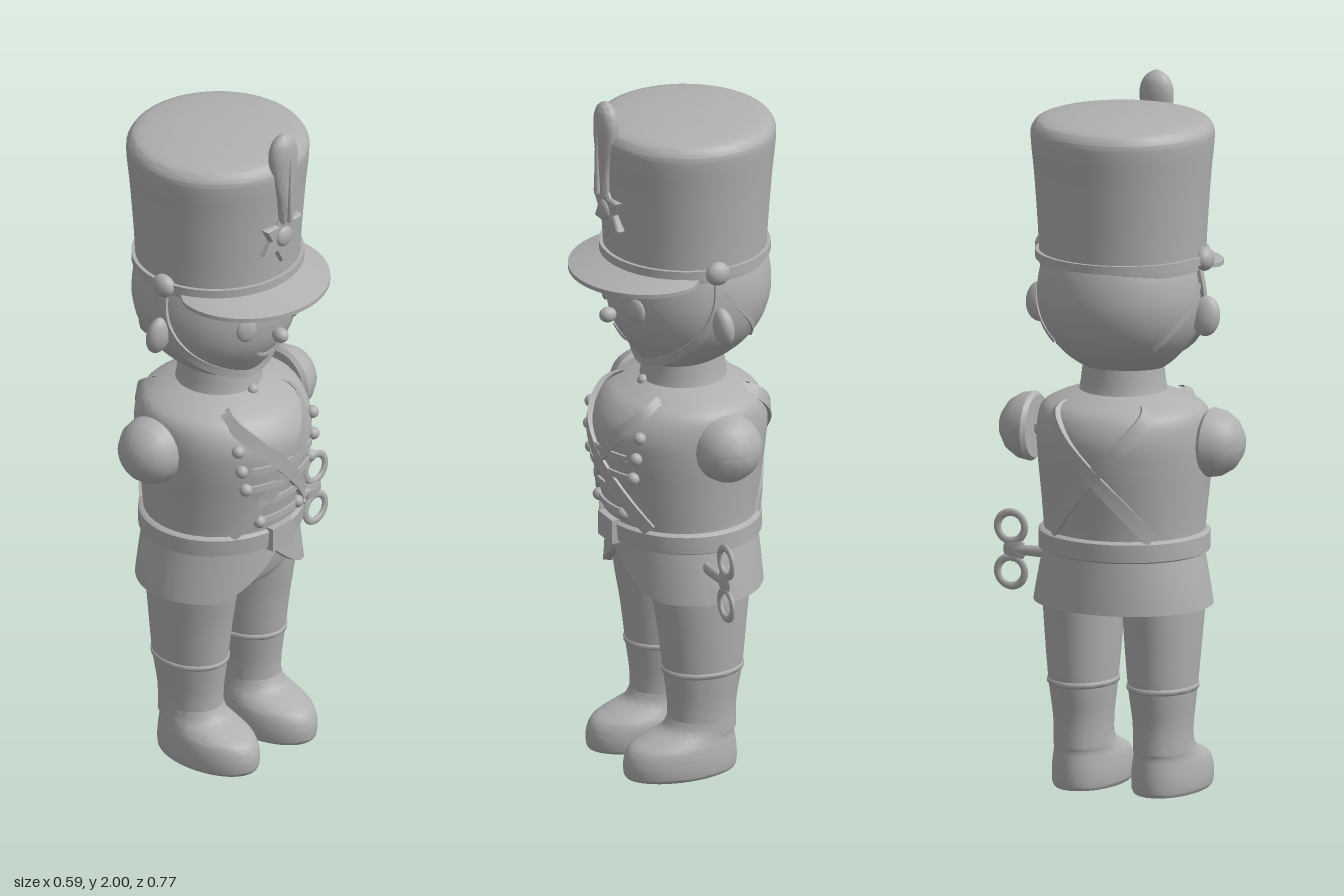
import * as THREE from 'three';
import { toCreasedNormals } from 'three/addons/utils/BufferGeometryUtils.js';

const CX = -0.02; // body axis
const grey = new THREE.MeshStandardMaterial({ color: 0xb0b0b0, side: THREE.DoubleSide });
grey.name = 'plain grey';

// Smooth a short list of [y, rx, rz, cz] sections
function smooth(rows, steps = 5) {
  const out = [];
  const at = i => rows[Math.min(rows.length - 1, Math.max(0, i))];
  for (let i = 0; i < rows.length - 1; i++) {
    for (let s = 0; s < steps; s++) {
      const t = s / steps;
      out.push(rows[i].map((b, k) => {
        const a = at(i - 1)[k], c = at(i + 1)[k], d = at(i + 2)[k];
        return 0.5 * (2 * b + (c - a) * t + (2 * a - 5 * b + 4 * c - d) * t * t + (3 * b - a - 3 * c + d) * t * t * t);
      }));
    }
  }
  out.push(rows[rows.length - 1]);
  return out;
}

const ringPoint = ([y, rx, rz, cz], a, off = 0, cx = CX) =>
  new THREE.Vector3(cx + (rx + off) * Math.sin(a), y, cz + (rz + off) * Math.cos(a));

// Point on a smoothed body at angle a (0 = front) and height y
function surface(rows) {
  return (a, y, off = 0) => {
    let i = 0;
    while (i < rows.length - 2 && rows[i + 1][0] < y) i++;
    const p = rows[i], q = rows[i + 1];
    const t = THREE.MathUtils.clamp((y - p[0]) / (q[0] - p[0]), 0, 1);
    return ringPoint(p.map((v, k) => v + (q[k] - v) * t), a, off);
  };
}

// Grid of points fn(column, row) turned into a creased surface
function grid(cols, rows, fn, crease = 0.9) {
  const pos = [], idx = [];
  for (let j = 0; j <= rows; j++) for (let i = 0; i <= cols; i++) pos.push(...fn(i, j).toArray());
  for (let j = 0; j < rows; j++) for (let i = 0; i < cols; i++) {
    const a = j * (cols + 1) + i, b = a + 1, d = a + cols + 1, c = d + 1;
    idx.push(a, b, d, b, c, d);
  }
  const g = new THREE.BufferGeometry();
  g.setAttribute('position', new THREE.Float32BufferAttribute(pos, 3));
  g.setIndex(idx);
  return toCreasedNormals(g, crease);
}

// Closed body of elliptical sections
function loft(rows, cx = CX, n = 48) {
  const f = rows[0], l = rows[rows.length - 1];
  const all = [[f[0], 0, 0, f[3]], ...rows, [l[0], 0, 0, l[3]]];
  return grid(n, all.length - 1, (i, j) => ringPoint(all[j], (i % n) / n * Math.PI * 2, 0, cx));
}

// Raised band lying on a surface; path(t) gives [angle, y]
function band(surf, path, half, thick, n = 32) {
  const corners = [[-1, -0.006], [-1, thick], [1, thick], [1, -0.006]];
  return grid(4, n, (i, j) => {
    const t = j / n, e = 0.004, [a, y] = path(t);
    const c = surf(a, y);
    const T = surf(...path(t + e)).sub(surf(...path(t - e))).normalize();
    const N = surf(a, y, 1).sub(c).normalize();
    const S = T.cross(N).normalize();
    const [s, h] = corners[i % 4];
    return c.addScaledVector(S, s * half).addScaledVector(N, h);
  }, 0.7);
}

export function createModel() {
  const model = new THREE.Group();
  const body = new THREE.Group();
  body.name = 'toySoldier';
  body.rotation.y = Math.PI / 2; // built facing +z, turned to face +x
  model.add(body);

  const add = (name, geo, pos = [0, 0, 0], scale = [1, 1, 1]) => {
    const m = new THREE.Mesh(geo, grey);
    m.name = name;
    m.position.set(...pos);
    m.scale.set(...scale);
    body.add(m);
    return m;
  };
  const ball = new THREE.SphereGeometry(1, 24, 16);

  const headRows = smooth([[1.183, 0.03, 0.04, 0.0], [1.2, 0.1, 0.1, -0.015], [1.25, 0.165, 0.162, -0.037],
    [1.32, 0.215, 0.21, -0.045], [1.4, 0.235, 0.23, -0.05], [1.48, 0.23, 0.226, -0.05], [1.55, 0.21, 0.21, -0.045]]);
  const torsoRows = smooth([[0.66, 0.225, 0.205, -0.03], [0.75, 0.228, 0.213, -0.025], [0.85, 0.236, 0.228, -0.022],
    [0.95, 0.245, 0.244, -0.02], [1.03, 0.247, 0.246, -0.022], [1.09, 0.234, 0.215, -0.03],
    [1.12, 0.19, 0.17, -0.035], [1.145, 0.12, 0.115, -0.037]]);
  const hatRows = smooth([[1.5, 0.233, 0.226, -0.04], [1.6, 0.237, 0.231, -0.04], [1.75, 0.247, 0.243, -0.04],
    [1.86, 0.257, 0.254, -0.04], [1.895, 0.252, 0.249, -0.04], [1.917, 0.222, 0.22, -0.04], [1.93, 0.12, 0.12, -0.04]]);
  const head = surface(headRows), torso = surface(torsoRows), hat = surface(hatRows);

  add('head', loft(headRows));
  add('torso', loft(torsoRows));
  add('hat', loft(hatRows));
  add('neck', loft(smooth([[1.11, 0.14, 0.135, -0.037], [1.15, 0.122, 0.12, -0.035], [1.25, 0.11, 0.11, -0.035]])));
  add('hips', loft(smooth([[0.53, 0.19, 0.125, -0.035], [0.56, 0.22, 0.17, -0.035], [0.68, 0.215, 0.195, -0.03]])));
  add('belt', loft([[0.685, 0.234, 0.212, -0.028], [0.69, 0.243, 0.221, -0.028],
    [0.74, 0.243, 0.224, -0.026], [0.747, 0.234, 0.214, -0.026]]));
  add('buckle', new THREE.BoxGeometry(0.09, 0.07, 0.025), [CX, 0.717, 0.195]);

  // Coat skirt with a cutaway at the front
  const flare = surface(smooth([[0.53, 0.258, 0.217, -0.034], [0.6, 0.246, 0.213, -0.033], [0.7, 0.226, 0.208, -0.03]]));
  const depths = [[0, -0.025], [0, 0], [0.25, 0], [0.5, 0], [0.75, 0], [1, 0]];
  add('coatSkirt', grid(96, depths.length - 1, (i, j) => {
    const a = (i / 96 - 0.5) * Math.PI * 2;
    const low = 0.537 + 0.12 * Math.pow(Math.max(0, 1 - Math.abs(a) / 0.85), 1.6);
    return flare(a, low + (0.7 - low) * depths[j][0], depths[j][1]);
  }));

  // Legs, boots and shoulder knobs, mirrored
  const knobProfile = [[0, 0], [0.022, 0], [0.022, 0.03], [0.088, 0.03], [0.098, 0.042], [0.092, 0.075],
    [0.072, 0.107], [0.042, 0.128], [0.015, 0.136], [0, 0.137]].map(p => new THREE.Vector2(...p));
  const knob = toCreasedNormals(new THREE.LatheGeometry(knobProfile, 40), 0.8);
  for (const s of [1, -1]) {
    const side = s > 0 ? 'left' : 'right', x = CX + s * 0.12;
    add(side + 'Leg', loft(smooth([[0.12, 0.082, 0.1, -0.033], [0.2, 0.083, 0.1, -0.034], [0.3, 0.094, 0.115, -0.036],
      [0.42, 0.104, 0.128, -0.034], [0.53, 0.111, 0.143, -0.03], [0.6, 0.112, 0.15, -0.03]]), x));
    add(side + 'BootCuff', loft([[0.295, 0.093, 0.114, -0.036], [0.299, 0.098, 0.119, -0.036],
      [0.309, 0.099, 0.12, -0.036], [0.313, 0.095, 0.116, -0.036]], x));
    add(side + 'Foot', loft(smooth([[0, 0.096, 0.163, 0.032], [0.012, 0.102, 0.168, 0.033], [0.05, 0.103, 0.168, 0.033],
      [0.085, 0.098, 0.157, 0.026], [0.108, 0.09, 0.132, 0.004], [0.13, 0.084, 0.108, -0.024],
      [0.165, 0.081, 0.097, -0.034]]), x));
    add(side + 'ShoulderKnob', knob, [CX + s * 0.228, 1.012, -0.042]).rotation.z = -s * Math.PI / 2;
    add(side + 'Ear', ball, [CX + s * 0.25, 1.37, -0.038], [0.042, 0.057, 0.028]).rotation.x = 0.15;
    add(side + 'HatKnob', ball, [CX + s * 0.242, 1.53, -0.025], [0.026, 0.034, 0.036]);
    add(side + 'Hairline', band(head, t => [s * (1.55 + 0.75 * t), 1.46 - 0.17 * t], 0.007, 0.005));

    // Face
    add(side + 'Eye', ball, head(s * 0.44, 1.395).toArray(), [0.03, 0.036, 0.012]).rotation.y = s * 0.44;
    add(side + 'Brow', band(head, t => [s * (0.3 + 0.32 * t), 1.44 + 0.016 * Math.sin(Math.PI * t)], 0.006, 0.006));

    // Crossed straps, front and back
    for (const base of [0, Math.PI])
      add((base ? 'back' : 'front') + 'Strap' + (s > 0 ? 'A' : 'B'),
        band(torso, t => [base + s * (-0.72 + 1.42 * t), 1.12 - 0.37 * t], 0.02, s > 0 ? 0.011 : 0.008));

    // Coat buttons
    [[0.66, 1.035], [0.63, 0.972], [0.57, 0.908], [0.34, 0.785]].forEach(([a, y], i) =>
      add(side + 'Button' + (i + 1), ball, torso(s * a, y, 0.006).toArray(), [0.018, 0.018, 0.018]));
  }
  add('nose', ball, [CX - 0.003, 1.355, 0.197], [0.021, 0.022, 0.025]);
  add('mouth', band(head, t => [0.5 * (t - 0.5), 1.278 + 0.1 * (t - 0.5) ** 2], 0.005, 0.005));
  add('chinStrap', band(head, t => {
    const u = 2 * t - 1;
    return [1.5 * Math.sin(u * Math.PI / 2), 1.203 + 0.3 * u * u];
  }, 0.013, 0.01, 64));
  add('collarButton', ball, [CX, 1.14, 0.09], [0.016, 0.016, 0.016]);
  [0.965, 0.905, 0.85, 0.785].forEach((y, i) => {
    const w = [0.5, 0.55, 0.38, 0.34][i];
    add('braid' + (i + 1), band(torso, t => [w * (2 * t - 1), y], 0.009, 0.009));
  });

  // Hat trim: cord, visor, star and plume
  add('hatCord', band(hat, t => [t * Math.PI * 2, 1.53], 0.012, 0.011, 64));
  const reach = 1.28;
  add('visor', grid(4, 48, (i, j) => {
    const a = (j / 48 * 2 - 1) * reach;
    const e = Math.pow(Math.max(0, Math.cos(a / reach * Math.PI / 2)), 0.75);
    const k = i % 4, outer = k === 1 || k === 2;
    const p = hat(a, 1.52, outer ? 0.004 + 0.103 * e : -0.02);
    p.y = (outer ? 1.512 - 0.026 * Math.sqrt(e) : 1.522) - (k > 1 ? 0.012 : 0);
    return p;
  }, 0.7));
  const star = new THREE.Shape();
  for (let i = 0; i < 12; i++) {
    const r = i % 2 ? 0.044 : 0.078, a = i * Math.PI / 6;
    star[i ? 'lineTo' : 'moveTo'](r * Math.sin(a), r * Math.cos(a));
  }
  add('star', new THREE.ExtrudeGeometry(star, { depth: 0.018, bevelSize: 0.005, bevelThickness: 0.005, bevelSegments: 1 }),
    [CX, 1.675, 0.185]).rotation.x = 0.06;
  add('starBoss', ball, [CX, 1.675, 0.208], [0.03, 0.03, 0.014]);
  add('plume', loft(smooth([[1.72, 0.016, 0.014, 0.208], [1.79, 0.026, 0.02, 0.21], [1.87, 0.043, 0.027, 0.206],
    [1.94, 0.05, 0.031, 0.204], [1.98, 0.036, 0.024, 0.205], [2.0, 0.008, 0.006, 0.206]]), CX, 20));
  add('plumeQuill', new THREE.CylinderGeometry(0.005, 0.009, 0.2, 10), [CX, 1.83, 0.232]);

  // Wind-up key in the left side
  const key = [0.325, 0.643, 0.005];
  add('keyShaft', new THREE.CylinderGeometry(0.014, 0.018, 0.13, 16), [0.262, 0.643, 0.005], [1, 1, 0.6]).rotation.z = -Math.PI / 2;
  add('keyHub', ball, key, [0.035, 0.036, 0.008]);
  for (const s of [1, -1])
    add(s > 0 ? 'keyUpperRing' : 'keyLowerRing', new THREE.TorusGeometry(0.041, 0.011, 10, 32),
      [0.336, 0.643 + s * 0.064, 0.005], [1, 1, 0.6]);
  return model;
}
